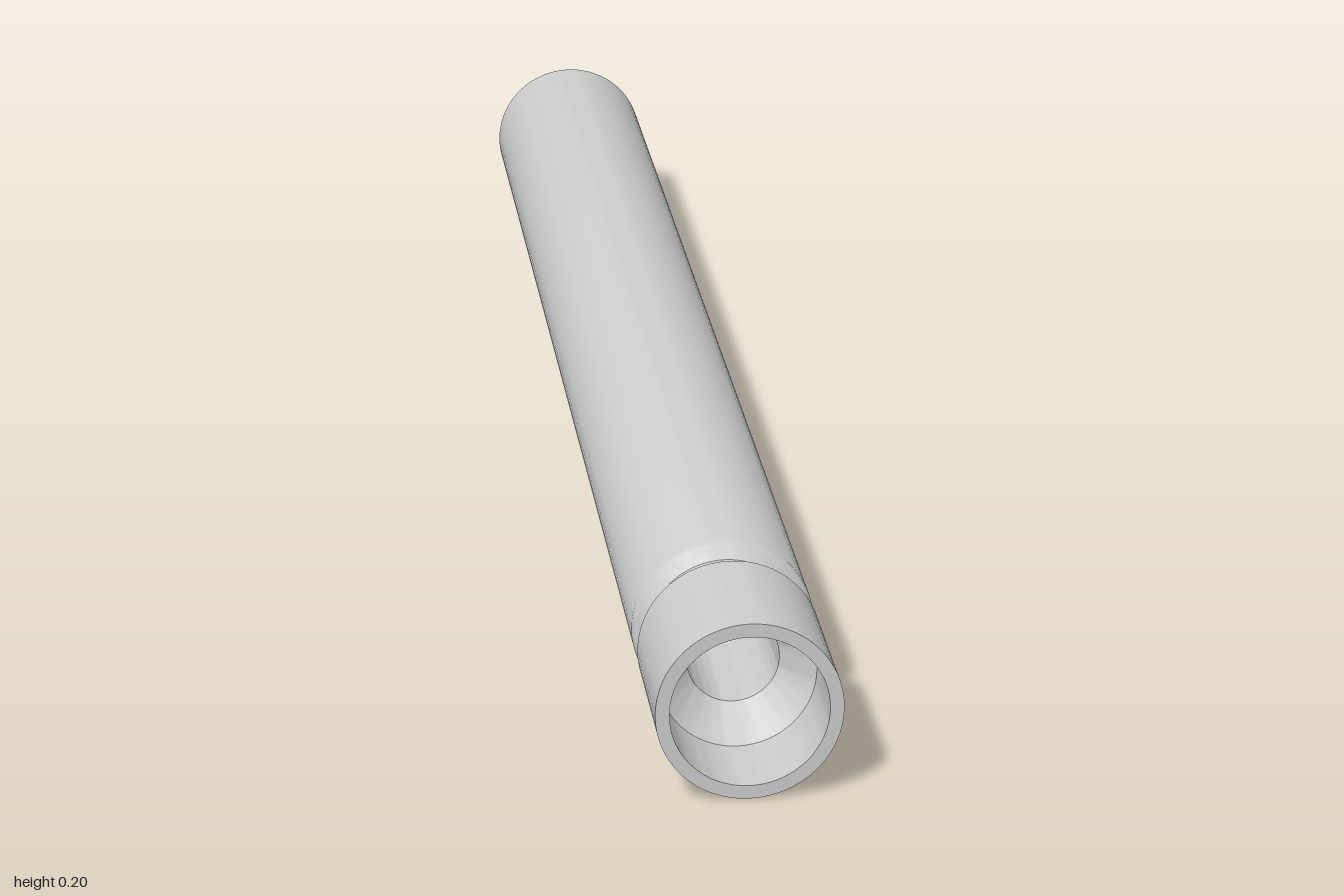
import * as THREE from 'three';
import { toCreasedNormals } from 'three/addons/utils/BufferGeometryUtils.js';

// Turn a [radius, z] profile around the z axis, keeping edges sharp.
function turned(name, profile, material) {
  const points = profile.map(([r, z]) => new THREE.Vector2(r, z));
  const geometry = new THREE.LatheGeometry(points, 64).rotateX(Math.PI / 2);
  const mesh = new THREE.Mesh(toCreasedNormals(geometry, Math.PI / 6), material);
  mesh.name = name;
  mesh.position.y = 0.1;
  return mesh;
}

export function createModel() {
  const model = new THREE.Group();
  model.name = 'groovedRod';
  const grey = new THREE.MeshStandardMaterial({ color: 0xcccccc });

  // Closed back end and long shaft, up to the groove
  model.add(turned('shaft', [[0, -1], [0.1, -1], [0.1, 0.768], [0.097, 0.774], [0.091, 0.778]], grey));

  // Narrow neck between the shaft and the collar
  model.add(turned('grooveNeck', [[0.091, 0.778], [0.084, 0.786], [0.084, 0.812], [0.091, 0.82]], grey));

  // Front collar with its flat rim
  model.add(turned('collar', [[0.091, 0.82], [0.097, 0.823], [0.1, 0.828], [0.1, 1], [0.085, 1]], grey));

  // Wide socket, tapering into a narrower blind bore
  model.add(turned('socketBore', [[0.085, 1], [0.085, 0.9], [0.05, 0.86], [0.05, 0.5], [0, 0.5]], grey));

  return model;
}
